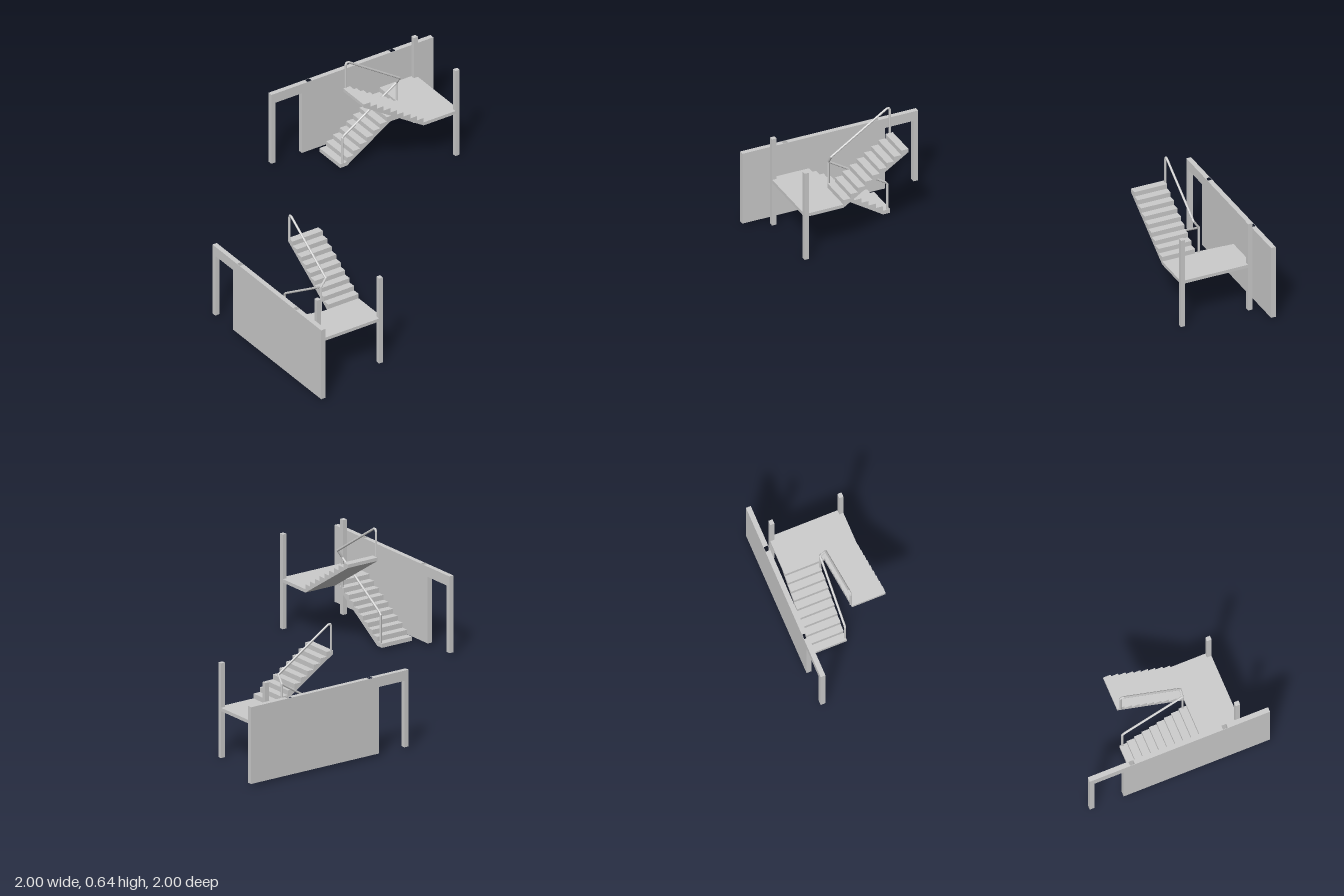
import * as THREE from 'three';

const material = new THREE.MeshStandardMaterial({ color: 0xcccccc, flatShading: true });

const LOW = 0.013, LANDING = 0.265, RISE = 0.0256, GOING = 0.04, STEPS = 9;
const START = 0.29, END = START + STEPS * GOING, SLAB = 0.018;

function add(parent, name, geometry) {
  const mesh = new THREE.Mesh(geometry, material);
  mesh.name = name;
  parent.add(mesh);
  return mesh;
}

// Box from its limits on each axis
function box(parent, name, [x0, x1], [y0, y1], [z0, z1]) {
  const mesh = add(parent, name, new THREE.BoxGeometry(x1 - x0, y1 - y0, Math.abs(z1 - z0)));
  mesh.position.set((x0 + x1) / 2, (y0 + y1) / 2, (z0 + z1) / 2);
}

// Stair profile in the x-y plane, extruded between two z limits
function flight(parent, name, points, z0, z1) {
  const shape = new THREE.Shape(points.map(([x, y]) => new THREE.Vector2(x, y)));
  const geometry = new THREE.ExtrudeGeometry(shape, { depth: Math.abs(z1 - z0), bevelEnabled: false });
  add(parent, name, geometry).position.z = Math.min(z0, z1);
}

// Round bar through a list of points, with a ball at each bend
function rail(parent, name, points) {
  const group = new THREE.Group();
  group.name = name;
  parent.add(group);
  const radius = 0.006;
  points.forEach((p, i) => {
    if (i === 0) return;
    const a = points[i - 1], dir = p.clone().sub(a);
    const bar = add(group, 'bar', new THREE.CylinderGeometry(radius, radius, dir.length(), 10));
    bar.position.copy(a).add(p).multiplyScalar(0.5);
    bar.quaternion.setFromUnitVectors(new THREE.Vector3(0, 1, 0), dir.normalize());
    if (i < points.length - 1) add(group, 'bend', new THREE.SphereGeometry(radius, 10, 8)).position.copy(p);
  });
}

// One stairwell running along x; s mirrors it in z
function stairwell(name, s) {
  const group = new THREE.Group();
  group.name = name;
  const wallZ = [-1 * s, -0.974 * s];

  // Wall panel with two upright shafts, and the door frame beside it
  const rect = (path, x0, x1, z0, z1) => {
    path.moveTo(x0, -z0);
    path.lineTo(x1, -z0);
    path.lineTo(x1, -z1);
    path.lineTo(x0, -z1);
    path.closePath();
    return path;
  };
  const plan = rect(new THREE.Shape(), 0.21, 1, ...wallZ);
  for (const x of [0.258, 0.76]) plan.holes.push(rect(new THREE.Path(), x - 0.013, x + 0.013, -0.998 * s, -0.976 * s));
  const panel = new THREE.ExtrudeGeometry(plan, { depth: 0.405, bevelEnabled: false });
  panel.rotateX(-Math.PI / 2);
  add(group, 'wall', panel).position.y = LOW;
  box(group, 'doorLintel', [0.027, 0.21], [0.364, 0.418], wallZ);
  box(group, 'doorJamb', [0.027, 0.053], [LOW, 0.364], wallZ);

  // Landing and its corner posts
  box(group, 'landing', [END, 0.865], [LANDING - SLAB, LANDING], [-0.935 * s, -0.54 * s]);
  for (const [z0, z1] of [[-0.935, -0.912], [-0.562, -0.54]])
    box(group, 'post', [0.841, 0.866], [0, 0.5], [z0 * s, z1 * s]);

  // Lower flight climbs toward the landing on the wall side
  const lower = [[START + GOING, LOW], [START, LOW]];
  for (let i = 0; i < STEPS; i++) {
    const y = LANDING - (STEPS - i) * RISE;
    lower.push([START + i * GOING, y], [START + (i + 1) * GOING, y]);
  }
  lower.push([END, LANDING], [END + GOING, LANDING], [END + GOING, LANDING - SLAB]);
  flight(group, 'lowerFlight', lower, -0.935 * s, -0.75 * s);

  // Upper flight climbs back on the open side
  const upper = [[END, LANDING - SLAB], [END, LANDING]];
  for (let i = 0; i < STEPS; i++) {
    const y = LANDING + (i + 1) * RISE;
    upper.push([END - i * GOING, y], [END - (i + 1) * GOING, y]);
  }
  upper.push([START, LANDING - SLAB + STEPS * RISE]);
  flight(group, 'upperFlight', upper, -0.722 * s, -0.54 * s);

  // Handrail follows both flights and crosses the gap at the landing
  const zLow = -0.753 * s, zHigh = -0.724 * s;
  const v = (x, y, z) => new THREE.Vector3(x, y, z);
  rail(group, 'handrail', [
    v(0.305, 0.035, zLow), v(0.305, 0.182, zLow), v(0.315, 0.195, zLow), v(0.63, 0.396, zLow),
    v(0.63, 0.438, zHigh), v(0.322, 0.639, zHigh), v(0.31, 0.639, zHigh), v(0.305, 0.628, zHigh),
    v(0.305, 0.49, zHigh),
  ]);
  rail(group, 'railPost', [v(0.63, 0.23, zLow), v(0.63, 0.396, zLow)]);
  return group;
}

export function createModel() {
  const model = new THREE.Group();
  model.name = 'stairwells';
  model.add(stairwell('backStairwell', 1));

  // The second stairwell mirrors the first across the diagonal
  const side = stairwell('sideStairwell', -1);
  side.rotation.y = -Math.PI / 2;
  model.add(side);
  return model;
}
